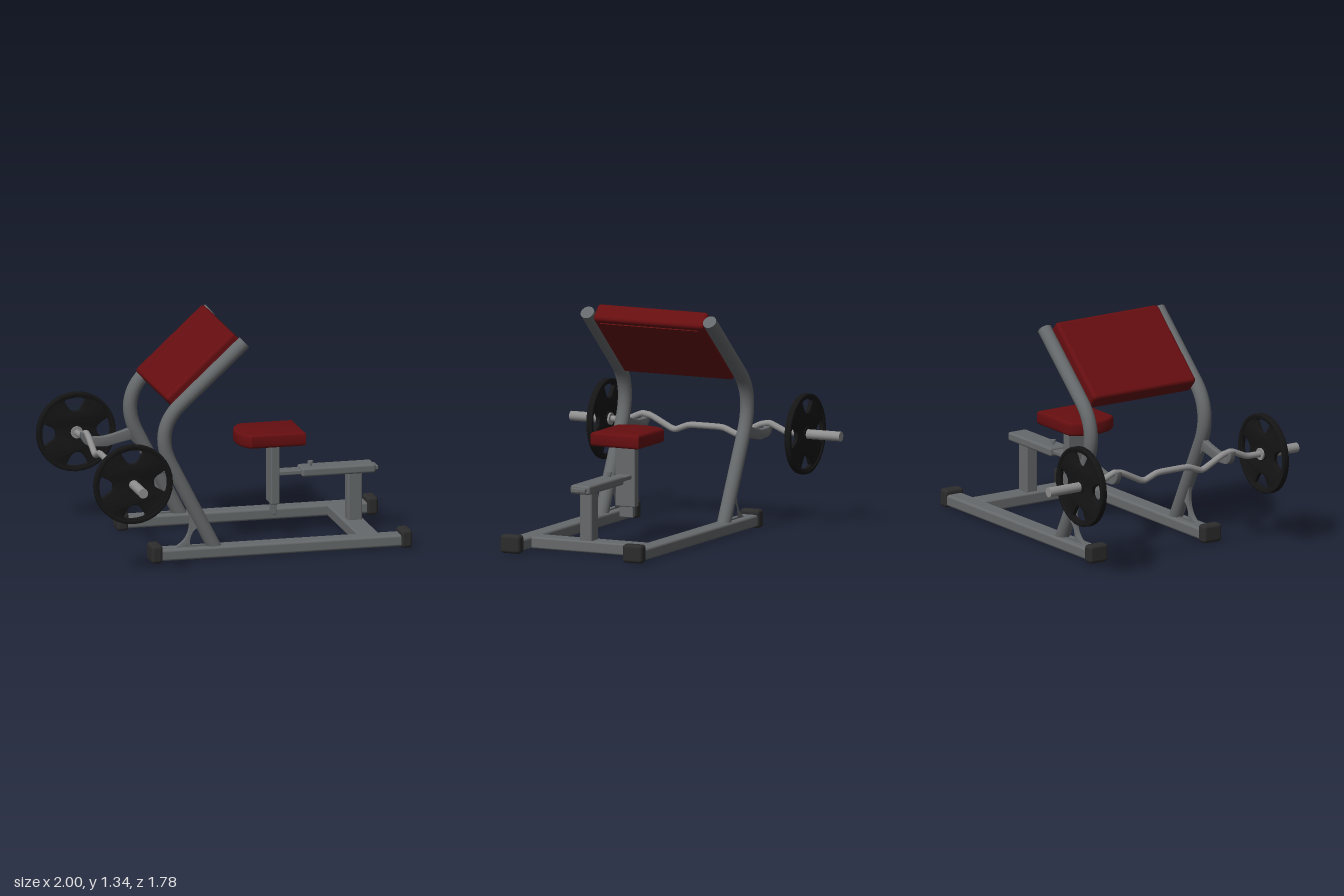
import * as THREE from 'three';
import { RoundedBoxGeometry } from 'three/addons/geometries/RoundedBoxGeometry.js';
import { toCreasedNormals } from 'three/addons/utils/BufferGeometryUtils.js';

const paint = (color) => new THREE.MeshStandardMaterial({ color });
const steel = paint(0x66696b), chrome = paint(0x8e8e8e), red = paint(0x660e10);
const rubber = paint(0x2c2c2c), iron = paint(0x151515);

export function createModel() {
  const model = new THREE.Group();

  const add = (name, geometry, material, x = 0, y = 0, z = 0) => {
    const mesh = new THREE.Mesh(geometry, material);
    mesh.name = name;
    mesh.position.set(x, y, z);
    model.add(mesh);
    return mesh;
  };
  // Rounded box given by its extents
  const block = (name, [x0, x1], [y0, y1], [z0, z1], r, material = steel) =>
    add(name, new RoundedBoxGeometry(x1 - x0, y1 - y0, z1 - z0, 3, r), material,
      (x0 + x1) / 2, (y0 + y1) / 2, (z0 + z1) / 2);
  // Flat plate of a given depth, centred on its own z
  const plate = (shape, depth, bevel = 0.004) => {
    const g = new THREE.ExtrudeGeometry(shape, {
      depth: depth - 2 * bevel, bevelThickness: bevel, bevelSize: bevel,
      bevelOffset: -bevel, bevelSegments: 3, curveSegments: 16,
    });
    g.translate(0, 0, bevel - depth / 2);
    return toCreasedNormals(g, 0.6);
  };
  const rod = (r, length) => new THREE.CylinderGeometry(r, r, length, 24).rotateX(Math.PI / 2);

  // Base
  for (const s of [-1, 1]) {
    const zc = s * 0.405;
    block('sideRail', [-0.57, 0.98], [0.01, 0.08], [zc - 0.055, zc + 0.055], 0.015);
    for (const x of [-0.59, 0.93])
      block('railCap', [x, x + 0.07], [0, 0.11], [zc - 0.065, zc + 0.065], 0.02, rubber);
  }
  block('crossRail', [0.69, 0.82], [0.01, 0.08], [-0.36, 0.36], 0.012);

  // Bent uprights
  const v = (x, y, z = 0) => new THREE.Vector3(x, y, z);
  const upright = new THREE.CurvePath();
  upright.add(new THREE.LineCurve3(v(-0.19, 0.06), v(-0.455, 0.58)));
  upright.add(new THREE.CubicBezierCurve3(v(-0.455, 0.58), v(-0.525, 0.717), v(-0.51, 0.845), v(-0.40, 0.945)));
  upright.add(new THREE.LineCurve3(v(-0.40, 0.945), v(-0.01, 1.3)));
  const uprightGeo = new THREE.TubeGeometry(upright, 60, 0.042, 20);

  // Curved gusset with a window, between upright and rail
  const gusset = new THREE.Shape();
  gusset.moveTo(-0.45, 0.075);
  gusset.bezierCurveTo(-0.34, 0.12, -0.34, 0.2, -0.35, 0.28);
  gusset.bezierCurveTo(-0.37, 0.4, -0.43, 0.49, -0.52, 0.56);
  gusset.lineTo(-0.44, 0.59);
  gusset.lineTo(-0.19, 0.075);
  const gussetHole = new THREE.Path();
  gussetHole.moveTo(-0.35, 0.085);
  gussetHole.quadraticCurveTo(-0.35, 0.18, -0.29, 0.2);
  gussetHole.lineTo(-0.235, 0.085);
  gusset.holes.push(gussetHole);

  // Bar rest: arm ending in an open cup
  const rest = new THREE.Shape();
  rest.moveTo(-0.46, 0.63);
  rest.quadraticCurveTo(-0.55, 0.59, -0.66, 0.57);
  rest.lineTo(-0.722, 0.57);
  rest.quadraticCurveTo(-0.758, 0.568, -0.782, 0.6);
  rest.lineTo(-0.8, 0.6);
  rest.quadraticCurveTo(-0.8, 0.53, -0.74, 0.515);
  rest.lineTo(-0.64, 0.51);
  rest.quadraticCurveTo(-0.52, 0.54, -0.45, 0.55);

  const endTangent = upright.getTangent(1);
  for (const s of [-1, 1]) {
    const z = s * 0.405;
    add('upright', uprightGeo, steel, 0, 0, z);
    const cap = add('uprightEnd', new THREE.CircleGeometry(0.042, 20), steel, -0.01, 1.3, z);
    cap.quaternion.setFromUnitVectors(v(0, 0, 1), endTangent);
    add('gusset', plate(gusset, 0.025), steel, 0, 0, z);
    add('barRest', plate(rest, 0.036), steel, 0, 0, z);
  }

  // Arm pad with its backing panel
  const pad = new THREE.Group();
  pad.name = 'armPad';
  const cushion = new THREE.Mesh(new RoundedBoxGeometry(0.56, 0.115, 0.73, 4, 0.022), red);
  cushion.name = 'armCushion';
  const backing = new THREE.Mesh(new THREE.BoxGeometry(0.48, 0.012, 0.65), red);
  backing.name = 'armPadBacking';
  backing.position.y = -0.057;
  pad.add(cushion, backing);
  pad.position.set(-0.237, 1.121, 0);
  pad.rotation.z = 0.74;
  model.add(pad);

  // Seat cushion with a bowed front
  const seat = new THREE.Shape();
  seat.moveTo(0.43, -0.16);
  seat.lineTo(0.43, 0.16);
  seat.lineTo(0.10, 0.16);
  seat.bezierCurveTo(0.06, 0.13, 0.035, 0.07, 0.035, 0);
  seat.bezierCurveTo(0.035, -0.07, 0.06, -0.13, 0.10, -0.16);
  add('seat', plate(seat, 0.085, 0.018).rotateX(-Math.PI / 2), red, 0, 0.622, 0);

  // Seat post, sliding arm and rear support
  block('seatPost', [0.24, 0.295], [0.21, 0.59], [-0.065, 0.065], 0.008);
  block('seatPostInner', [0.257, 0.28], [0.145, 0.22], [-0.045, 0.045], 0.005);
  block('slideArm', [0.29, 0.9], [0.378, 0.404], [-0.045, 0.045], 0.006);
  block('slideSleeve', [0.43, 0.88], [0.365, 0.418], [-0.065, 0.065], 0.014);
  block('rearPost', [0.715, 0.805], [0.07, 0.37], [-0.04, 0.04], 0.012);
  add('lockPin', new THREE.CylinderGeometry(0.01, 0.01, 0.03, 16), steel, 0.497, 0.425, 0);
  add('lockKnob', new THREE.CylinderGeometry(0.016, 0.018, 0.014, 16), steel, 0.497, 0.44, 0);

  // Zigzag curl bar with sleeves
  const half = [[0.64, 0.545], [0.53, 0.547], [0.42, 0.595], [0.36, 0.583], [0.21, 0.508], [0.11, 0.547]];
  const knots = [...half.map(([z, y]) => v(0, y, -z)), ...half.reverse().map(([z, y]) => v(0, y, z))];
  const barPath = new THREE.CurvePath();
  let last = knots[0];
  knots.slice(1, -1).forEach((k, i) => {
    const a = k.clone().lerp(knots[i], 0.2), b = k.clone().lerp(knots[i + 2], 0.2);
    barPath.add(new THREE.LineCurve3(last, a));
    barPath.add(new THREE.QuadraticBezierCurve3(a, k, b));
    last = b;
  });
  barPath.add(new THREE.LineCurve3(last, knots[knots.length - 1]));
  const barbell = new THREE.Group();
  barbell.name = 'barbell';
  const addBar = (name, geometry, material, y = 0, z = 0) => {
    const m = add(name, geometry, material, 0, y, z);
    barbell.add(m);
    return m;
  };
  addBar('curlBar', new THREE.TubeGeometry(barPath, 140, 0.019, 14), chrome);

  // Weight plate with four rounded windows and a raised hub
  const disc = new THREE.Shape().absarc(0, 0, 0.238, 0, Math.PI * 2);
  for (let i = 0; i < 4; i++) {
    const c = i * Math.PI / 2 + 0.04;
    const p = (r, a) => [r * Math.cos(c + a), r * Math.sin(c + a)];
    const hole = new THREE.Path();
    hole.moveTo(...p(0.205, -0.24));
    hole.absarc(0, 0, 0.207, c - 0.24, c + 0.24);
    hole.quadraticCurveTo(...p(0.21, 0.37), ...p(0.185, 0.31));
    hole.bezierCurveTo(...p(0.155, 0.27), ...p(0.125, 0.24), ...p(0.125, 0));
    hole.bezierCurveTo(...p(0.125, -0.24), ...p(0.155, -0.27), ...p(0.185, -0.31));
    hole.quadraticCurveTo(...p(0.21, -0.37), ...p(0.205, -0.24));
    disc.holes.push(hole);
  }
  const discGeo = plate(disc, 0.026);
  const ring = new THREE.Shape().absarc(0, 0, 0.24, 0, Math.PI * 2);
  ring.holes.push(new THREE.Path().absarc(0, 0, 0.218, 0, Math.PI * 2));
  const rimGeo = plate(ring, 0.038);
  for (const s of [-1, 1]) {
    addBar('barSleeve', rod(0.029, 0.26), chrome, 0.545, s * 0.76);
    addBar('barCollar', rod(0.036, 0.014), chrome, 0.545, s * 0.63);
    addBar('weightPlate', discGeo, iron, 0.545, s * 0.653);
    addBar('weightRim', rimGeo, iron, 0.545, s * 0.653);
    addBar('weightHub', rod(0.045, 0.036), iron, 0.545, s * 0.653);
  }
  barbell.position.x = -0.758;
  barbell.rotation.y = 0.009;
  model.add(barbell);

  return model;
}
